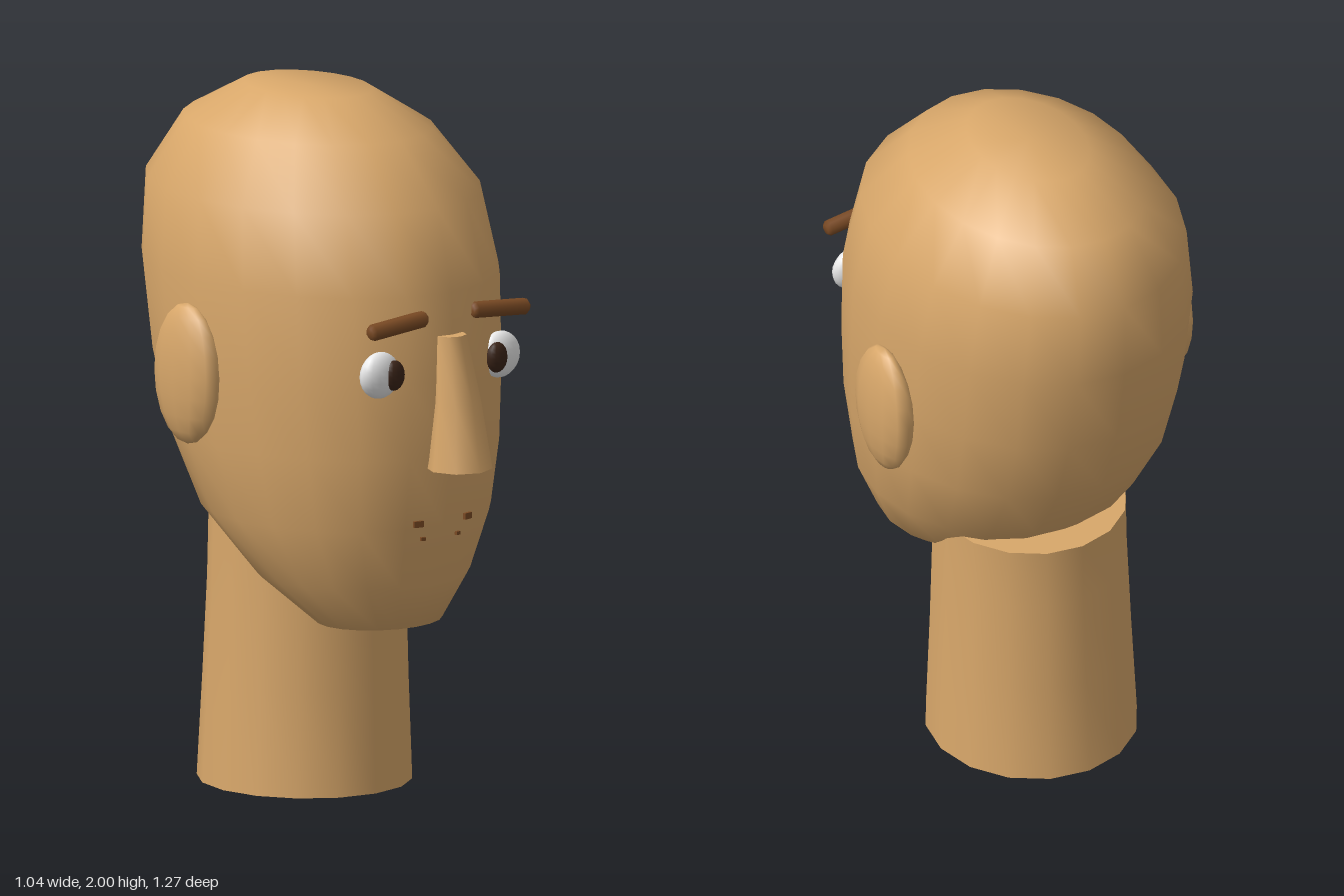
import * as THREE from 'three';

const mat = (name, color) => {
  const m = new THREE.MeshStandardMaterial({ color });
  m.name = name;
  return m;
};

// Skin of elliptical rings [y, halfWidth, zFront, zBack], bottom to top, closed at both ends.
function loft(rings, sides, sharpEnds) {
  const pos = [], idx = [];
  const addRing = ([y, w, front, back]) => {
    const start = pos.length / 3;
    for (let j = 0; j < sides; j++) {
      const a = (j / sides) * Math.PI * 2;
      pos.push(Math.sin(a) * w, y, (front + back) / 2 + Math.cos(a) * (front - back) / 2);
    }
    return start;
  };
  const starts = rings.map(addRing);
  for (let i = 0; i < rings.length - 1; i++) {
    for (let j = 0; j < sides; j++) {
      const k = (j + 1) % sides, a = starts[i], b = starts[i + 1];
      idx.push(a + j, a + k, b + j, a + k, b + k, b + j);
    }
  }
  const cap = (ring, start, top) => {
    const s = sharpEnds ? addRing(ring) : start;
    const c = pos.length / 3;
    pos.push(0, ring[0], (ring[2] + ring[3]) / 2);
    for (let j = 0; j < sides; j++) {
      const k = (j + 1) % sides;
      if (top) idx.push(c, s + j, s + k);
      else idx.push(c, s + k, s + j);
    }
  };
  cap(rings[0], starts[0], false);
  cap(rings[rings.length - 1], starts[starts.length - 1], true);
  const g = new THREE.BufferGeometry();
  g.setAttribute('position', new THREE.Float32BufferAttribute(pos, 3));
  g.setIndex(idx);
  g.computeVertexNormals();
  return g;
}

export function createModel() {
  const skin = mat('skin', 0xd8a76a);
  const brown = mat('browBrown', 0x7a4a24);
  const white = mat('eyeWhite', 0xf2f2f2);
  const dark = mat('irisDark', 0x3b2418);

  const model = new THREE.Group();
  model.name = 'head bust';
  const add = (name, geo, material, x = 0, y = 0, z = 0) => {
    const m = new THREE.Mesh(geo, material);
    m.name = name;
    m.position.set(x, y, z);
    model.add(m);
    return m;
  };
  const ellipsoid = (rx, ry, rz, w, h) => new THREE.SphereGeometry(1, w, h).scale(rx, ry, rz);

  // Skull and jaw
  add('skull', loft([
    [0.51, 0.19, 0.355, 0.03],
    [0.64, 0.31, 0.415, -0.17],
    [0.82, 0.40, 0.475, -0.38],
    [1.03, 0.437, 0.512, -0.515],
    [1.25, 0.455, 0.517, -0.59],
    [1.5, 0.46, 0.51, -0.635],
    [1.73, 0.425, 0.45, -0.635],
    [1.9, 0.31, 0.29, -0.525],
    [2.0, 0.155, 0.1, -0.335],
  ], 20, false), skin);

  // Neck
  add('neck', loft([
    [0, 0.30, 0.178, -0.445],
    [0.3, 0.286, 0.17, -0.428],
    [0.58, 0.276, 0.165, -0.413],
    [0.76, 0.274, 0.165, -0.408],
  ], 16, true), skin);

  // Nose
  add('nose', loft([
    [1.0, 0.095, 0.637, 0.447],
    [1.19, 0.068, 0.603, 0.467],
    [1.38, 0.047, 0.55, 0.456],
  ], 8, true), skin);

  // Bevelled bar for the brows
  const browProfile = [[0, -0.103], [0.015, -0.103], [0.024, -0.093],
    [0.024, 0.093], [0.015, 0.103], [0, 0.103]].map(p => new THREE.Vector2(...p));
  const browGeo = new THREE.LatheGeometry(browProfile, 8).rotateY(Math.PI / 8).rotateZ(Math.PI / 2);

  // Paired features
  for (const [side, s] of [['left', 1], ['right', -1]]) {
    add(side + 'Ear', ellipsoid(0.055, 0.203, 0.13, 12, 10), skin, s * 0.464, 1.233, -0.096);
    add(side + 'Eye', ellipsoid(0.068, 0.067, 0.036, 16, 12), white, s * 0.222, 1.284, 0.458);
    add(side + 'Iris', ellipsoid(0.036, 0.044, 0.02, 12, 10), dark, s * 0.19, 1.283, 0.483);
    add(side + 'Brow', browGeo, brown, s * 0.188, 1.428, 0.496).rotation.z = -s * 0.08;
    // Mouth corners just breaking the surface
    add(side + 'MouthCorner', new THREE.BoxGeometry(0.03, 0.018, 0.009), brown, s * 0.09, 0.838, 0.472)
      .rotation.y = s * 0.2;
    add(side + 'LipMark', new THREE.BoxGeometry(0.014, 0.01, 0.009), brown, s * 0.064, 0.79, 0.46)
      .rotation.y = s * 0.15;
  }
  return model;
}
